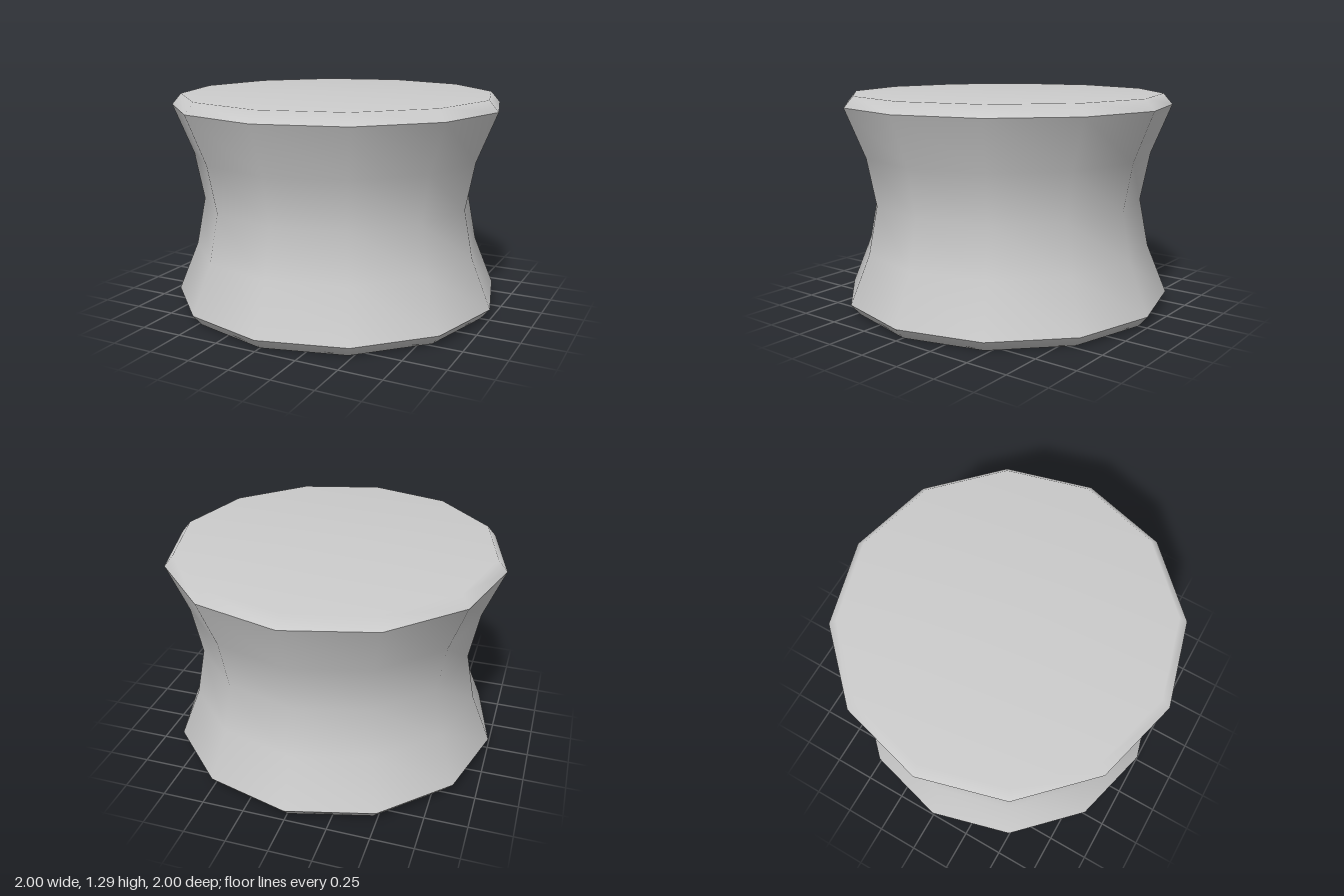
import * as THREE from 'three';
import { mergeVertices } from 'three/addons/utils/BufferGeometryUtils.js';

const SIDES = 12;
const HEIGHT = 1.295;
const material = new THREE.MeshStandardMaterial({ color: 0xcccccc });

// Turn a [radius, y] profile (bottom to top) into a smooth-shaded twelve-sided part
function turned(name, profile) {
  const points = profile.map(([r, y]) => new THREE.Vector2(r, y));
  let geometry = new THREE.LatheGeometry(points, SIDES);
  geometry.deleteAttribute('normal');
  geometry.deleteAttribute('uv');
  geometry = mergeVertices(geometry, 1e-4);
  geometry.computeVertexNormals();
  const mesh = new THREE.Mesh(geometry, material);
  mesh.name = name;
  return mesh;
}

export function createModel() {
  const model = new THREE.Group();
  model.name = 'waistedDrum';

  // Bevelled end, mirrored for the top
  const end = [[0, 0], [0.945, 0], [1, 0.065]];
  const flip = (profile) => profile.map(([r, y]) => [r, HEIGHT - y]).reverse();

  // Concave wall, mirrored about its narrow waist
  const lowerWall = [[1, 0.065], [0.88, 0.36]];
  const wall = [...lowerWall, [0.825, HEIGHT / 2], ...flip(lowerWall)];

  // Separate parts keep the rims sharp
  model.add(
    turned('bottomCap', end),
    turned('concaveWall', wall),
    turned('topCap', flip(end))
  );
  return model;
}
